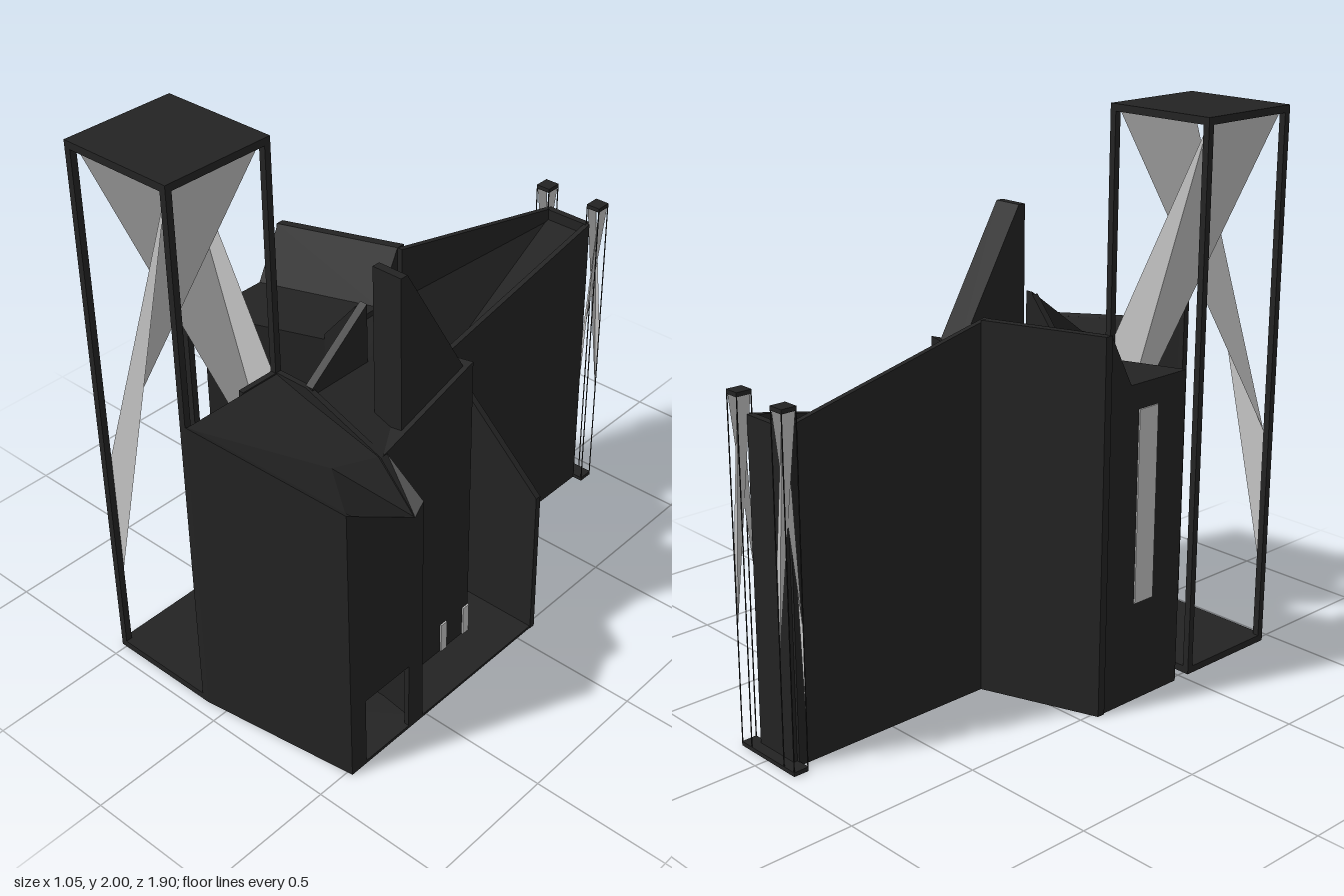
import * as THREE from 'three';

const dark = new THREE.MeshStandardMaterial({ color: 0x232323, side: THREE.DoubleSide });
dark.name = 'charcoal cladding';
const glass = new THREE.MeshStandardMaterial({ color: 0xc4c4c4, side: THREE.DoubleSide });
glass.name = 'pale glass';

function addMesh(parent, name, geometry, material) {
  const mesh = new THREE.Mesh(geometry, material);
  mesh.name = name;
  parent.add(mesh);
  return mesh;
}

function fromPositions(positions) {
  const g = new THREE.BufferGeometry();
  g.setAttribute('position', new THREE.Float32BufferAttribute(positions.flat(), 3));
  g.computeVertexNormals();
  return g;
}

// Solid over a plan outline; corners are [x, z, top height], so the roof may slope
function prism(parent, name, corners, y0 = 0, material = dark) {
  const flat = corners.map(([x, z]) => new THREE.Vector2(x, z));
  if (THREE.ShapeUtils.area(flat) < 0) {
    corners = [...corners].reverse();
    flat.reverse();
  }
  const low = corners.map(([x, z]) => [x, y0, z]);
  const high = corners.map(([x, z, y]) => [x, y, z]);
  const p = [];
  for (const [a, b, c] of THREE.ShapeUtils.triangulateShape(flat, [])) {
    p.push(high[a], high[c], high[b], low[a], low[b], low[c]);
  }
  corners.forEach((_, a) => {
    const b = (a + 1) % corners.length;
    p.push(low[a], high[b], low[b], low[a], high[a], high[b]);
  });
  return addMesh(parent, name, fromPositions(p), material);
}

// Axis-aligned box given by its limits
function block(parent, name, x0, x1, y0, y1, z0, z1, material = dark) {
  const g = new THREE.BoxGeometry(x1 - x0, y1 - y0, z1 - z0);
  const mesh = addMesh(parent, name, g, material);
  mesh.position.set((x0 + x1) / 2, (y0 + y1) / 2, (z0 + z1) / 2);
  return mesh;
}

// Open frame with end slabs and crossing folded glass sheets
function openTower(parent, name, x0, x1, z0, z1, h, t, slab) {
  const tower = new THREE.Group();
  tower.name = name;
  parent.add(tower);
  block(tower, 'towerBase', x0, x1, 0, slab, z0, z1);
  block(tower, 'towerCap', x0, x1, h - slab, h, z0, z1);
  for (const x of [x0, x1 - t]) {
    for (const z of [z0, z1 - t]) block(tower, 'towerPost', x, x + t, slab, h - slab, z, z + t);
  }
  const l = x0 + t, r = x1 - t, b = z0 + t, f = z1 - t, top = h - slab;
  const sheet = (...points) => addMesh(tower, 'foldedGlass', fromPositions(points), glass);
  sheet([r, top, f], [r, top, b], [l, h * 0.415, f], [r, top, f], [l, h * 0.415, f], [l, h * 0.175, f]);
  sheet([l, top, b], [l, top, f], [r, h * 0.35, b], [l, top, b], [r, h * 0.35, b], [r, h * 0.59, b]);
}

export function createModel() {
  const model = new THREE.Group();
  model.name = 'angularBuilding';

  // Front tower and the two slim posts at the end of the rear wing
  openTower(model, 'frontTower', -0.52, -0.08, 0.53, 0.95, 2, 0.024, 0.026);
  openTower(model, 'rearPostRight', -0.145, -0.088, -0.95, -0.892, 1.24, 0.003, 0.015);
  openTower(model, 'rearPostLeft', 0.085, 0.14, -0.95, -0.892, 1.24, 0.003, 0.015);

  // Front block: floor, walls, doorway and folded roof
  prism(model, 'frontFloor', [[-0.08, 0.53, 0.012], [-0.08, 0.95, 0.012], [0.52, 0.87, 0.012], [0.52, 0.53, 0.012]]);
  prism(model, 'frontWall', [[-0.08, 0.95, 1.16], [0.52, 0.87, 1.08], [0.52, 0.85, 1.07], [-0.08, 0.93, 1.15]]);
  const sideTop = z => 0.89 + (z - 0.56) / 0.31 * 0.19;
  const sidePiece = (name, z0, z1, y0, y1) => prism(model, name, [
    [0.5, z0, y1 ?? sideTop(z0)], [0.52, z0, y1 ?? sideTop(z0)],
    [0.52, z1, y1 ?? sideTop(z1)], [0.5, z1, y1 ?? sideTop(z1)]], y0);
  sidePiece('sideWall', 0.56, 0.868, 0.28);
  sidePiece('doorJamb', 0.56, 0.59, 0, 0.28);
  sidePiece('doorJamb', 0.8, 0.868, 0, 0.28);
  block(model, 'towerSideWall', -0.1, -0.08, 0, 1.16, 0.53, 0.7);
  prism(model, 'courtyardFrontWall', [[-0.08, 0.53, 1.16], [0.05, 0.53, 1.16], [0.05, 0.55, 1.16], [-0.08, 0.55, 1.16]]);
  prism(model, 'innerWall', [[0.05, 0.53, 1.16], [0.36, 0.52, 1.03], [0.36, 0.54, 1.03], [0.05, 0.55, 1.16]]);
  prism(model, 'terraceSideWall', [[0.36, 0.51, 1.03], [0.52, 0.52, 0.93], [0.52, 0.56, 0.89], [0.36, 0.54, 1.03]]);
  const A = [-0.08, 1.155, 0.945], B = [0.515, 1.075, 0.865], C = [0.515, 0.89, 0.56];
  const D = [0.35, 1.03, 0.54], E = [-0.08, 1.155, 0.54], M = [0.29, 1.04, 0.69];
  addMesh(model, 'frontRoof', fromPositions([A, B, M, B, C, M, C, D, M, D, E, M, E, A, M]), dark);

  // Central block beside the courtyard
  prism(model, 'centralBlock', [[-0.1, -0.09, 1.14], [0.1, -0.09, 0.99], [0.1, 0.09, 1.12], [0.36, 0.09, 1.165],
    [0.36, 0.53, 1.03], [0.05, 0.53, 1.14], [0.05, 0.3, 1.14], [-0.1, 0.3, 1.14]]);
  prism(model, 'courtyardFin', [[0.04, 0.28, 1.355], [0.07, 0.28, 1.355], [0.07, 0.54, 1.16], [0.04, 0.54, 1.16]]);
  prism(model, 'courtyardBackFin', [[-0.1, 0.28, 1.18], [0.04, 0.28, 1.345], [0.04, 0.305, 1.345], [-0.1, 0.305, 1.18]]);

  // Wedge-shaped light shaft on the roof
  prism(model, 'lightShaftTop', [[0.225, 0.39, 1.62], [0.34, 0.39, 1.62], [0.34, 0.42, 1.62], [0.225, 0.42, 1.62]], 1);
  prism(model, 'lightShaft', [[0.225, 0.08, 1.09], [0.34, 0.08, 1.09], [0.34, 0.39, 1.62], [0.225, 0.39, 1.62]], 1);

  // Side wing with a raised back edge and a tall slot window
  prism(model, 'sideWing', [[-0.52, 0.06, 1.16], [-0.1, -0.09, 1.16], [-0.1, 0.305, 1.16], [-0.52, 0.46, 1.16]]);
  prism(model, 'sideWingParapet', [[-0.525, 0.06, 1.35], [-0.1, -0.093, 1.35], [-0.1, -0.06, 1.35], [-0.525, 0.09, 1.35]]);
  prism(model, 'sideWingRoofSlope', [[-0.52, 0.09, 1.35], [-0.1, -0.06, 1.35], [-0.1, 0.04, 1.16], [-0.52, 0.19, 1.16]], 1.1);
  block(model, 'slotWindow', -0.525, -0.519, 0.37, 1.07, 0.23, 0.32, glass);

  // Rear wing: twisted roof between two walls with opposing slopes
  prism(model, 'rearWing', [[-0.085, -0.09, 1.16], [0.085, -0.09, 0.95], [0.085, -0.89, 1.12], [-0.085, -0.89, 1.12]]);
  prism(model, 'rearWingRightWall', [[-0.1, -0.06, 1.35], [-0.08, -0.06, 1.35], [-0.08, -0.895, 1.16], [-0.1, -0.895, 1.16]]);
  prism(model, 'rearWingLeftWall', [[0.08, -0.07, 0.99], [0.1, -0.07, 0.99], [0.1, -0.895, 1.16], [0.08, -0.895, 1.16]]);
  block(model, 'rearEndWall', -0.09, 0.09, 0, 1.16, -0.91, -0.885);
  block(model, 'rearThreshold', -0.09, 0.09, 0, 0.015, -0.95, -0.91);

  // Terrace with its sloping back wall and low glazing
  block(model, 'terraceFloor', 0.1, 0.52, 0, 0.01, -0.09, 0.53);
  prism(model, 'terraceBackWall', [[0.1, -0.093, 0.99], [0.522, -0.093, 0.59], [0.522, -0.07, 0.59], [0.1, -0.07, 0.99]]);
  for (const [z0, z1] of [[0.385, 0.48], [0.21, 0.24], [0.09, 0.12]]) {
    block(model, 'lowWindow', 0.359, 0.366, 0.01, 0.13, z0, z1, glass);
  }

  return model;
}
